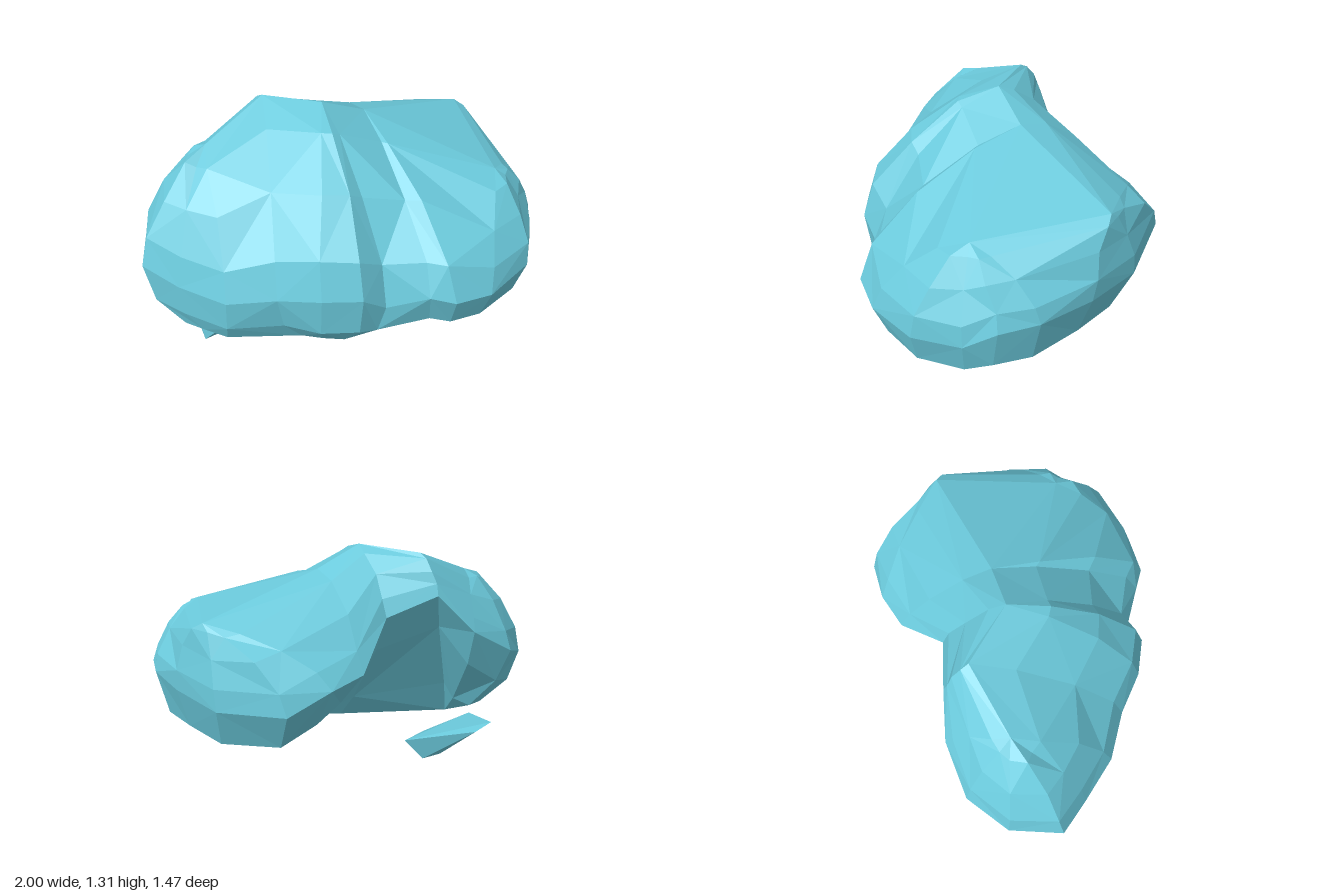
import * as THREE from 'three';
import { ConvexGeometry } from 'three/addons/geometries/ConvexGeometry.js';

// crest points over the top and keel points along the underside
const CREST = [
  [-0.65, 1.15, 0.05], [-0.36, 1.29, -0.15], [-0.08, 1.31, 0],
  [0.14, 1.21, -0.08], [0.7, 1.06, -0.4], [0.75, 1, 0.22],
];
const KEEL = [[-0.62, 0.28, 0.15], [-0.66, 0.27, 0.45], [-0.15, 0.26, 0.45], [0.5, 0.31, 0.2], [0, 0.32, 0.1]];
// flat patches that close the top and the underside
const CREST_CAPS = [[3, 5, 4]];
const KEEL_CAPS = [[0, 4, 2], [4, 3, 2], [0, 2, 1]];

// widest outline: x, y, z, crest point, keel point
const OUTLINE = [
  [-1, 0.66, 0.06, 0, 0], [-0.87, 0.75, -0.15, 0, 0], [-0.63, 0.9, -0.26, 0, 0],
  [-0.43, 1.1, -0.27, 1, 0], [-0.17, 1.01, -0.3, 2, 4], [-0.02, 0.82, -0.54, 3, 3],
  [0.14, 0.8, -0.66, 4, 3], [0.35, 0.72, -0.74, 4, 3], [0.66, 0.68, -0.55, 4, 3],
  [0.85, 0.7, -0.31, 4, 3], [0.97, 0.7, -0.06, 5, 3], [1, 0.69, 0.13, 5, 3],
  [0.97, 0.6, 0.28, 5, 3], [0.88, 0.6, 0.5, 5, 3], [0.65, 0.58, 0.67, 5, 3],
  [0.46, 0.6, 0.73, 3, 3], [0.34, 0.62, 0.7, 3, 3], [0.14, 0.55, 0.66, 2, 2],
  [0.02, 0.66, 0.72, 2, 2], [-0.17, 0.66, 0.7, 2, 2], [-0.37, 0.62, 0.62, 1, 2],
  [-0.61, 0.58, 0.57, 0, 1], [-0.83, 0.6, 0.44, 0, 1], [-1, 0.66, 0.33, 0, 1],
];

// the underside is straight at the notch and fuller away from it
const fullness = (x, z) => 0.85 + 1.4 * Math.hypot(x + 0.38, z + 0.3);

// curve from an outline point p to a crest or keel point q
function bend(p, q, s, power) {
  const a = s * Math.PI / 2;
  const h = s === 1 ? 1 : 1 - Math.pow(Math.cos(a), 2 / power);
  const v = s === 1 ? 1 : Math.pow(Math.sin(a), 2 / power);
  return [p[0] + (q[0] - p[0]) * h, p[1] + (q[1] - p[1]) * v, p[2] + (q[2] - p[2]) * h];
}

function boulderGeometry() {
  let seed = 7;
  const jitter = () => {
    seed = (seed * 16807) % 2147483647;
    return (seed / 2147483647 - 0.5) * 0.022;
  };
  const LOW = 3, HIGH = 4, rings = LOW + HIGH + 1, n = OUTLINE.length;
  const positions = [], index = [];
  for (const row of OUTLINE) {
    for (let j = 0; j < rings; j++) {
      const p = j < LOW
        ? bend(row, KEEL[row[4]], (LOW - j) / LOW, fullness(row[0], row[2]))
        : bend(row, CREST[row[3]], (j - LOW) / HIGH, 1.5);
      // roughen only between the outline and the ends
      const rough = j > 0 && j < rings - 1 && j !== LOW;
      positions.push(...p.map((c) => (rough ? c + jitter() : c)));
    }
  }
  for (let i = 0; i < n; i++) {
    for (let j = 0; j < rings - 1; j++) {
      const a = i * rings + j, b = ((i + 1) % n) * rings + j, c = b + 1, d = a + 1;
      if ((i + j) % 2) index.push(a, d, c, a, c, b);
      else index.push(a, d, b, d, c, b);
    }
  }
  for (const [points, caps] of [[CREST, CREST_CAPS], [KEEL, KEEL_CAPS]]) {
    const first = positions.length / 3;
    positions.push(...points.flat());
    index.push(...caps.flat().map((k) => first + k));
  }
  const g = new THREE.BufferGeometry();
  g.setAttribute('position', new THREE.Float32BufferAttribute(positions, 3));
  g.setIndex(index);
  const flat = g.toNonIndexed();
  flat.computeVertexNormals();
  return flat;
}

export function createModel() {
  const model = new THREE.Group();
  const paleBlue = new THREE.MeshStandardMaterial({ color: 0x6bcadc });
  paleBlue.name = 'paleBlue';
  paleBlue.flatShading = true;

  // large kidney-shaped body
  const body = new THREE.Mesh(boulderGeometry(), paleBlue);
  body.name = 'body';
  model.add(body);

  // small loose chip underneath
  const chipPoints = [
    [-0.86, 0.245, 0.02], [-0.79, 0.215, 0.22], [-0.76, 0.07, 0.28], [-0.75, 0.22, -0.04],
    [-0.6, 0, 0.13], [-0.46, 0.05, 0], [-0.5, 0.15, 0.15], [-0.35, 0.18, -0.01],
  ].map((p) => new THREE.Vector3(...p));
  const chip = new THREE.Mesh(new ConvexGeometry(chipPoints), paleBlue);
  chip.name = 'chip';
  model.add(chip);

  return model;
}
